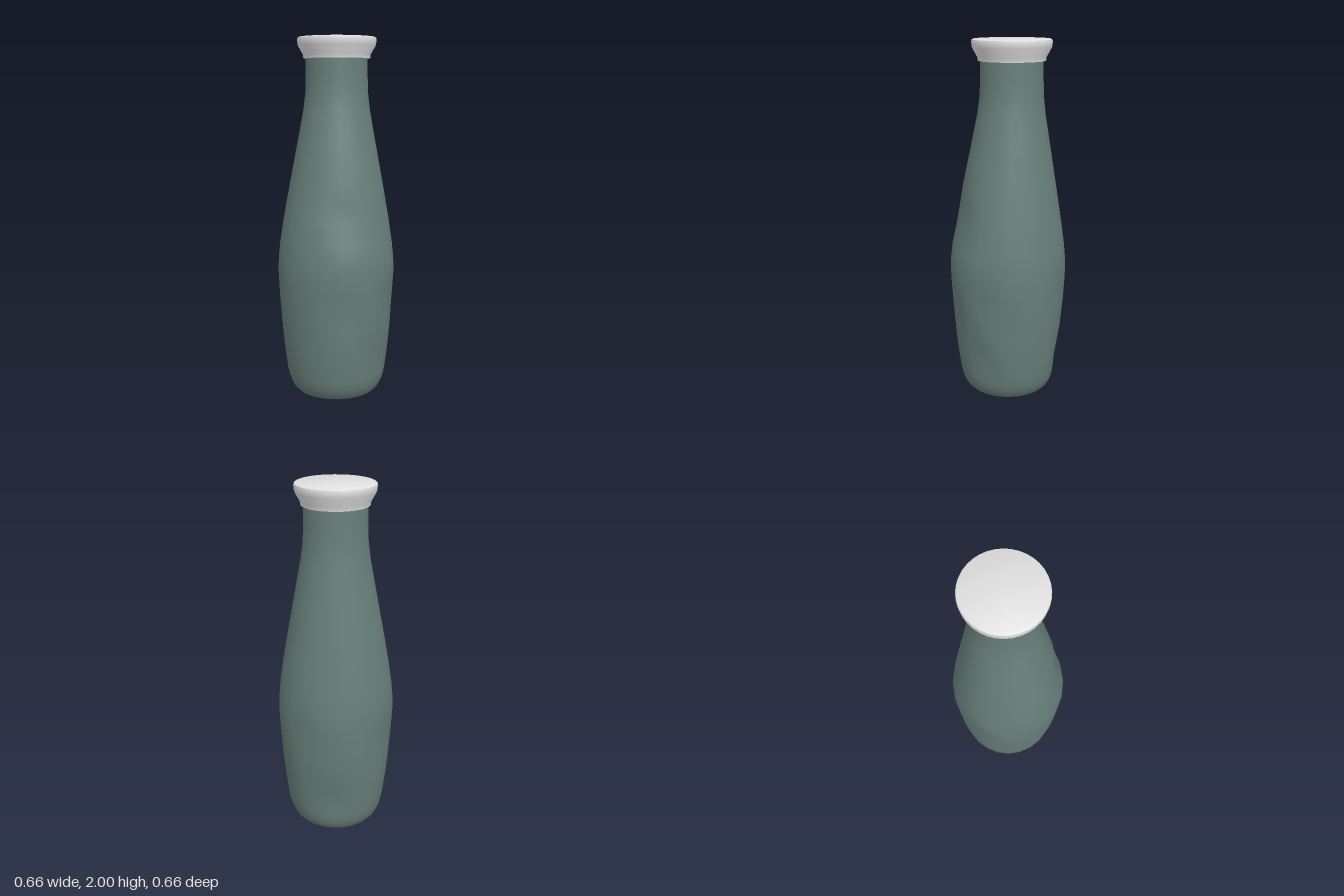
import * as THREE from 'three';
import { mergeVertices, toCreasedNormals } from 'three/addons/utils/BufferGeometryUtils.js';

const lathe = (profile, sides) =>
  new THREE.LatheGeometry(profile.map(([r, y]) => new THREE.Vector2(r, y)), sides);

// Worn areas of the body: angle from the front (towards +x), height, angular size, height size, depth
const dents = [
  [0.15, 1.02, 0.4, 0.12, 0.025],
  [0.1, 0.5, 0.25, 0.1, 0.012],
  [0.75, 0.22, 0.25, 0.12, 0.022],
  [1.0, 0.55, 0.25, 0.12, 0.014],
  [2.9, 0.2, 0.4, 0.14, 0.024],
  [-2.3, 0.6, 0.25, 0.15, 0.018],
  [2.4, 0.65, 0.25, 0.12, 0.012],
];

// Dent the wall inwards and shift the neck slightly off centre
function weather(geometry) {
  const p = geometry.attributes.position;
  for (let i = 0; i < p.count; i++) {
    const x = p.getX(i), y = p.getY(i), z = p.getZ(i);
    const r = Math.hypot(x, z), angle = Math.atan2(x, z);
    let scale = 1;
    if (r > 0.24) {
      for (const [a, h, wa, wh, depth] of dents) {
        const da = Math.atan2(Math.sin(angle - a), Math.cos(angle - a)) / wa;
        const dh = (y - h) / wh;
        scale -= (depth / r) * Math.exp(-da * da - dh * dh);
      }
    }
    const lean = THREE.MathUtils.smoothstep(y, 0.8, 1.8);
    p.setXYZ(i, x * scale + 0.005 * lean, y, z * scale - 0.02 * lean);
  }
}

export function createModel() {
  const group = new THREE.Group();
  const glass = new THREE.MeshStandardMaterial({ color: 0x687f79 });
  glass.name = 'grey green glass';
  const white = new THREE.MeshStandardMaterial({ color: 0xe0e0e0 });
  white.name = 'white cap';

  // Bottle body with a hollow underside, rounded foot, shoulder and neck
  let body = lathe([
    [0, 0.08], [0.08, 0.075], [0.15, 0.05], [0.185, 0.012], [0.205, 0], [0.225, 0.004],
    [0.25, 0.03], [0.268, 0.07], [0.28, 0.12], [0.291, 0.2], [0.302, 0.3], [0.311, 0.4],
    [0.32, 0.52], [0.326, 0.62], [0.33, 0.71], [0.327, 0.78], [0.318, 0.87], [0.298, 1],
    [0.28, 1.1], [0.262, 1.2], [0.224, 1.4], [0.187, 1.6], [0.175, 1.7], [0.172, 1.8],
    [0.171, 1.91],
  ], 24);
  weather(body);
  body.deleteAttribute('uv');
  body.deleteAttribute('normal');
  body = mergeVertices(body, 1e-4);
  body.computeVertexNormals();
  const bottle = new THREE.Mesh(body, glass);
  bottle.name = 'bottleBody';
  group.add(bottle);

  // Flared cap with a slightly rounded rim
  const capShape = lathe([
    [0, 1.885], [0.184, 1.885], [0.187, 1.905], [0.215, 1.955],
    [0.219, 1.985], [0.216, 1.996], [0.208, 2], [0, 2],
  ], 36);
  const cap = new THREE.Mesh(toCreasedNormals(capShape, 0.6), white);
  cap.name = 'cap';
  cap.position.set(0.005, 0, -0.02);
  group.add(cap);

  return group;
}
